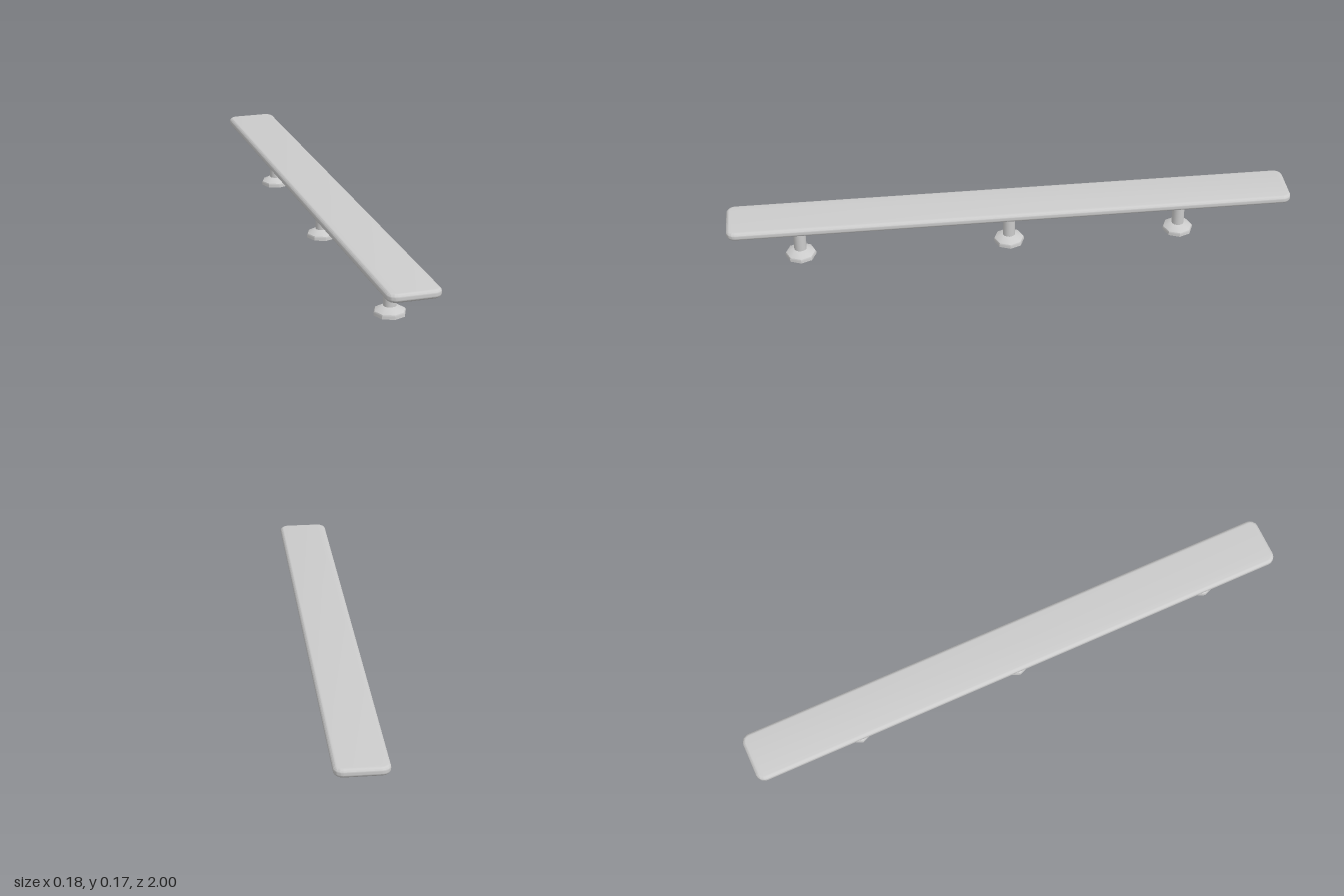
import * as THREE from 'three';
import { toCreasedNormals } from 'three/addons/utils/BufferGeometryUtils.js';

const material = new THREE.MeshStandardMaterial({ color: 0xcccccc });

function makeMesh(name, geometry) {
  const mesh = new THREE.Mesh(geometry, material);
  mesh.name = name;
  return mesh;
}

// Rounded rectangle centred on the origin
function roundedRect(halfW, halfL, r) {
  const s = new THREE.Shape();
  s.absarc(halfW - r, halfL - r, r, 0, Math.PI / 2);
  s.absarc(-halfW + r, halfL - r, r, Math.PI / 2, Math.PI);
  s.absarc(-halfW + r, -halfL + r, r, Math.PI, Math.PI * 1.5);
  s.absarc(halfW - r, -halfL + r, r, Math.PI * 1.5, Math.PI * 2);
  s.closePath();
  return s;
}

// Long plank with softened edges
function makeSeat() {
  const bevel = 0.012, bottom = 0.14, top = 0.17;
  const geometry = new THREE.ExtrudeGeometry(roundedRect(0.09 - bevel, 1 - bevel, 0.02), {
    depth: top - bottom - 2 * bevel,
    bevelThickness: bevel,
    bevelSize: bevel,
    bevelSegments: 4,
    curveSegments: 6,
  });
  geometry.rotateX(-Math.PI / 2);
  geometry.translate(0, bottom + bevel, 0);
  return makeMesh('seat', toCreasedNormals(geometry, 0.6));
}

// Round post on an eight-sided sloping foot
function makeLeg(z) {
  const leg = new THREE.Group();
  leg.name = 'leg';
  const post = new THREE.CylinderGeometry(0.022, 0.022, 0.12, 16, 1, true);
  post.translate(0, 0.085, 0);
  const profile = [[0, 0], [0.054, 0], [0.055, 0.009], [0.052, 0.015], [0.024, 0.03], [0, 0.03]]
    .map(([r, y]) => new THREE.Vector2(r, y));
  const foot = toCreasedNormals(new THREE.LatheGeometry(profile, 8), 0.6);
  leg.add(makeMesh('post', post), makeMesh('foot', foot));
  leg.position.z = z;
  return leg;
}

export function createModel() {
  const bench = new THREE.Group();
  bench.name = 'bench';
  bench.add(makeSeat());
  for (const z of [0.75, 0.005, -0.61]) bench.add(makeLeg(z));
  return bench;
}
